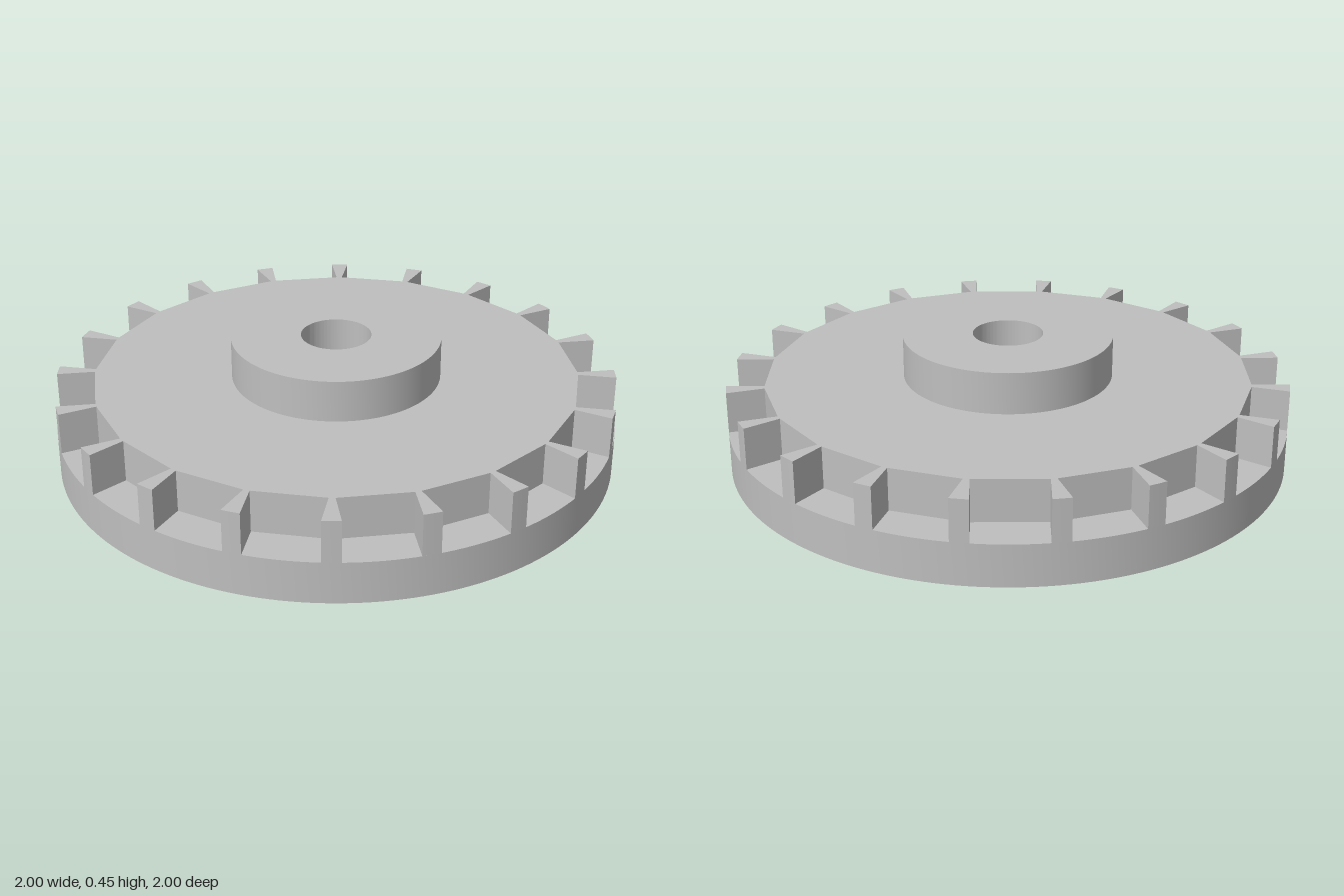
import * as THREE from 'three';
import { toCreasedNormals } from 'three/addons/utils/BufferGeometryUtils.js';

const BORE = 0.125, RIM = 1, HUB = 0.373;
const NOTCHES = 20, NOTCH_HALF = 0.125, NOTCH_FLOOR = 0.857;

export function createModel() {
  const group = new THREE.Group();
  const metal = new THREE.MeshStandardMaterial({ color: 0xbfbfbf });
  metal.name = 'grey metal';

  // Extrudes an outline upward from y0 to y1, with the central bore cut out
  function layer(name, shape, y0, y1) {
    shape.holes.push(new THREE.Path().absarc(0, 0, BORE, 0, Math.PI * 2, true));
    let geo = new THREE.ExtrudeGeometry(shape, { depth: y1 - y0, bevelEnabled: false, curveSegments: 96 });
    geo.rotateX(-Math.PI / 2).translate(0, y0, 0);
    geo = toCreasedNormals(geo, Math.PI / 6);
    const mesh = new THREE.Mesh(geo, metal);
    mesh.name = name;
    group.add(mesh);
  }

  const disc = (r) => new THREE.Shape().absarc(0, 0, r, 0, Math.PI * 2, false);

  // Toothed outline: parallel-sided notches separated by curved tooth tips
  const step = (Math.PI * 2) / NOTCHES;
  const edge = Math.asin(NOTCH_HALF / RIM);
  const points = [];
  for (let i = 0; i < NOTCHES; i++) {
    const a = i * step;
    for (const side of [-1, 1]) {
      points.push(new THREE.Vector2(NOTCH_FLOOR, side * NOTCH_HALF).rotateAround(new THREE.Vector2(), a));
    }
    for (let k = 0; k <= 3; k++) {
      const t = a + edge + (step - 2 * edge) * k / 3;
      points.push(new THREE.Vector2(Math.cos(t) * RIM, Math.sin(t) * RIM));
    }
  }

  layer('baseDisc', disc(RIM), 0, 0.15);
  layer('toothedRing', new THREE.Shape(points), 0.15, 0.3);
  layer('hub', disc(HUB), 0.3, 0.45);
  return group;
}
